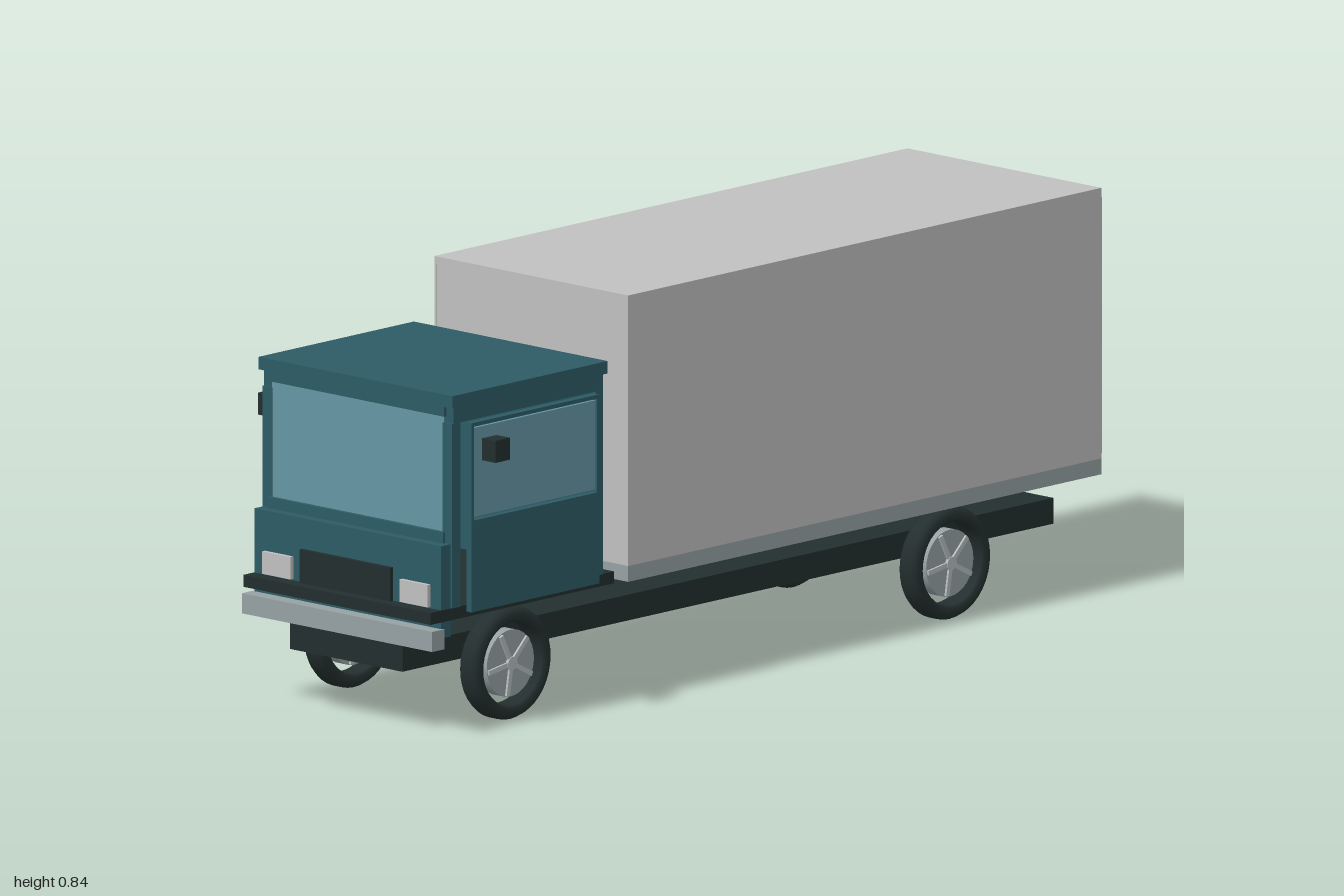
import * as THREE from 'three';

const mat = (name, color) => {
  const m = new THREE.MeshStandardMaterial({ color });
  m.name = name;
  return m;
};

export function createModel() {
  const truck = new THREE.Group();
  truck.name = 'boxTruck';

  const teal = mat('cabTeal', 0x2d5b65);
  const glass = mat('windowGlass', 0x6596a4);
  const dark = mat('darkTrim', 0x232e2e);
  const cargo = mat('cargoGrey', 0xc0c0c0);
  const metal = mat('brightMetal', 0x96a2a4);
  const spokeMetal = mat('spokeMetal', 0xb4bcbc);

  const group = (name, parent = truck) => {
    const g = new THREE.Group();
    g.name = name;
    parent.add(g);
    return g;
  };
  // Box given by its lower and upper limits on each axis
  const box = (parent, name, m, x0, x1, y0, y1, z0, z1) => {
    const mesh = new THREE.Mesh(new THREE.BoxGeometry(x1 - x0, y1 - y0, z1 - z0), m);
    mesh.position.set((x0 + x1) / 2, (y0 + y1) / 2, (z0 + z1) / 2);
    mesh.name = name;
    parent.add(mesh);
    return mesh;
  };
  // Box symmetric about x = 0
  const wide = (parent, name, m, x, y0, y1, z0, z1) => box(parent, name, m, -x, x, y0, y1, z0, z1);
  // Mirrored pair of boxes
  const pair = (parent, name, m, x0, x1, y0, y1, z0, z1) => {
    box(parent, name + 'Left', m, x0, x1, y0, y1, z0, z1);
    box(parent, name + 'Right', m, -x1, -x0, y0, y1, z0, z1);
  };

  wide(truck, 'chassis', dark, 0.158, 0.128, 0.182, -0.957, 0.973);

  // Cargo box: bed, walls, roof and rear doors
  const body = group('cargoBox');
  wide(body, 'bed', metal, 0.272, 0.245, 0.278, -0.979, 0.424);
  wide(body, 'cargoCore', cargo, 0.266, 0.278, 0.826, -0.977, 0.422);
  pair(body, 'sidePanel', cargo, 0.266, 0.272, 0.278, 0.826, -0.979, 0.424);
  wide(body, 'cargoRoof', cargo, 0.272, 0.826, 0.843, -0.979, 0.424);
  wide(body, 'doorSeal', dark, 0.257, 0.288, 0.815, -0.986, -0.977);
  pair(body, 'rearDoor', cargo, 0.004, 0.26, 0.285, 0.82, -0.994, -0.986);
  pair(body, 'lockBar', dark, 0.104, 0.111, 0.293, 0.805, -1.0, -0.994);

  // Cab shell
  const cab = group('cab');
  wide(cab, 'cabFloor', dark, 0.263, 0.246, 0.271, 0.457, 1.0);
  wide(cab, 'cabRoof', teal, 0.272, 0.69, 0.716, 0.485, 0.945);
  wide(cab, 'roofHeader', teal, 0.266, 0.656, 0.69, 0.492, 0.936);
  wide(cab, 'backWall', teal, 0.266, 0.271, 0.656, 0.492, 0.514);
  pair(cab, 'frontPillar', teal, 0.24, 0.266, 0.271, 0.656, 0.915, 0.94);
  wide(cab, 'windscreenTopBar', teal, 0.247, 0.669, 0.69, 0.93, 0.943);
  wide(cab, 'windscreenBottomBar', teal, 0.247, 0.4, 0.428, 0.92, 0.947);
  wide(cab, 'windscreen', glass, 0.241, 0.428, 0.669, 0.929, 0.938);
  wide(cab, 'frontPanel', teal, 0.262, 0.212, 0.405, 0.938, 0.968);
  wide(cab, 'grille', dark, 0.127, 0.27, 0.341, 0.968, 0.977);
  pair(cab, 'headlight', cargo, 0.153, 0.232, 0.274, 0.321, 0.968, 0.977);
  wide(cab, 'bumper', metal, 0.267, 0.19, 0.232, 0.963, 1.0);

  // Side doors and mirrors
  const doors = group('sideDoors', cab);
  pair(doors, 'doorPanel', teal, 0.272, 0.286, 0.26, 0.451, 0.524, 0.903);
  pair(doors, 'doorGlass', glass, 0.275, 0.282, 0.457, 0.643, 0.531, 0.896);
  pair(doors, 'doorTopFrame', teal, 0.272, 0.286, 0.647, 0.655, 0.524, 0.903);
  pair(doors, 'doorFrontFrame', teal, 0.272, 0.286, 0.451, 0.647, 0.896, 0.903);
  pair(doors, 'doorRearFrame', teal, 0.272, 0.286, 0.451, 0.647, 0.524, 0.531);
  pair(doors, 'mirrorArm', metal, 0.28, 0.298, 0.597, 0.604, 0.857, 0.864);
  pair(doors, 'mirror', dark, 0.296, 0.333, 0.576, 0.622, 0.839, 0.882);

  // Wheels: rounded tyre ring around a spoked hub disc
  const profile = [
    [0.087, -0.02], [0.092, -0.025], [0.104, -0.025], [0.112, -0.021], [0.117, -0.012],
    [0.117, 0.012], [0.112, 0.021], [0.104, 0.025], [0.092, 0.025], [0.087, 0.02], [0.087, -0.02],
  ].map(([r, h]) => new THREE.Vector2(r, h));
  const tyreGeo = new THREE.LatheGeometry(profile, 40);
  const hubGeo = new THREE.CylinderGeometry(0.07, 0.07, 0.028, 32);
  const capGeo = new THREE.CylinderGeometry(0.014, 0.014, 0.008, 16);
  const spokeGeo = new THREE.BoxGeometry(0.01, 0.006, 0.066);
  spokeGeo.translate(0, 0, 0.035);

  for (const [axle, z] of [['front', 0.732], ['rear', -0.571]]) {
    for (const [side, x] of [['Left', 0.219], ['Right', -0.219]]) {
      const wheel = group(axle + 'Wheel' + side);
      wheel.position.set(x, 0.119, z);
      wheel.rotation.z = -Math.PI / 2;
      const add = (name, geo, m, y = 0, turn = 0) => {
        const mesh = new THREE.Mesh(geo, m);
        mesh.name = name;
        mesh.position.y = y;
        mesh.rotation.y = turn;
        wheel.add(mesh);
      };
      add('tyre', tyreGeo, dark);
      add('hub', hubGeo, metal);
      add('hubCap', capGeo, spokeMetal, 0.017);
      for (let i = 0; i < 5; i++) add('spoke', spokeGeo, spokeMetal, 0.016, (i * Math.PI * 2) / 5 + 0.15);
    }
  }
  return truck;
}
